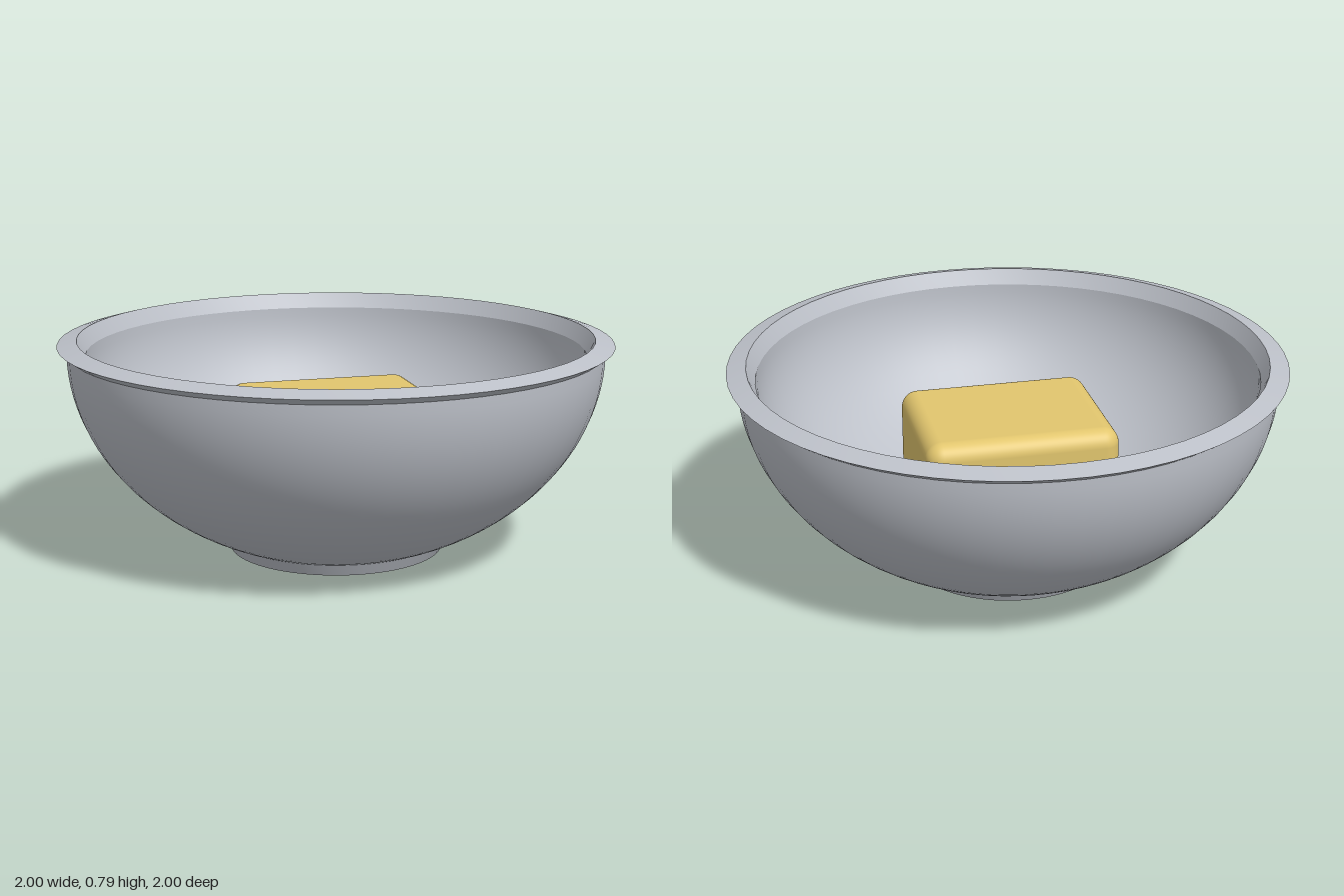
import * as THREE from 'three';
import { toCreasedNormals } from 'three/addons/utils/BufferGeometryUtils.js';
import { RoundedBoxGeometry } from 'three/addons/geometries/RoundedBoxGeometry.js';

const bowlGrey = new THREE.MeshStandardMaterial({ name: 'bowlGrey', color: 0xbdc1c9 });
const butterYellow = new THREE.MeshStandardMaterial({ name: 'butterYellow', color: 0xe2c66e });

// Quarter-ellipse wall, centred on the axis at height cy, from height y0 to y1
function wall(cy, rx, ry, y0, y1, steps) {
  const points = [];
  const a0 = Math.asin((cy - y0) / ry);
  const a1 = Math.asin((cy - y1) / ry);
  for (let i = 0; i <= steps; i++) {
    const a = a0 + (a1 - a0) * i / steps;
    points.push(new THREE.Vector2(rx * Math.cos(a), cy - ry * Math.sin(a)));
  }
  return points;
}

export function createModel() {
  const group = new THREE.Group();
  group.name = 'bowlWithBlock';

  // Bowl: foot, outer wall, flared lip, bevelled mouth, inner wall and floor in one profile
  const profile = [
    new THREE.Vector2(0, 0),
    new THREE.Vector2(0.39, 0),
    ...wall(0.75, 0.967, 0.78, 0.045, 0.745, 24),
    new THREE.Vector2(1, 0.768),
    new THREE.Vector2(0.93, 0.787),
    ...wall(0.73, 0.9, 0.65, 0.73, 0.115, 24),
    new THREE.Vector2(0, 0.1),
  ];
  const bowl = new THREE.Mesh(toCreasedNormals(new THREE.LatheGeometry(profile, 64), 0.4), bowlGrey);
  bowl.name = 'bowl';
  group.add(bowl);

  // Rounded block resting on the floor, turned slightly
  const block = new THREE.Mesh(new RoundedBoxGeometry(0.7, 0.475, 0.575, 6, 0.06), butterYellow);
  block.name = 'butterBlock';
  block.position.y = 0.3375;
  block.rotation.y = THREE.MathUtils.degToRad(15);
  group.add(block);

  return group;
}
